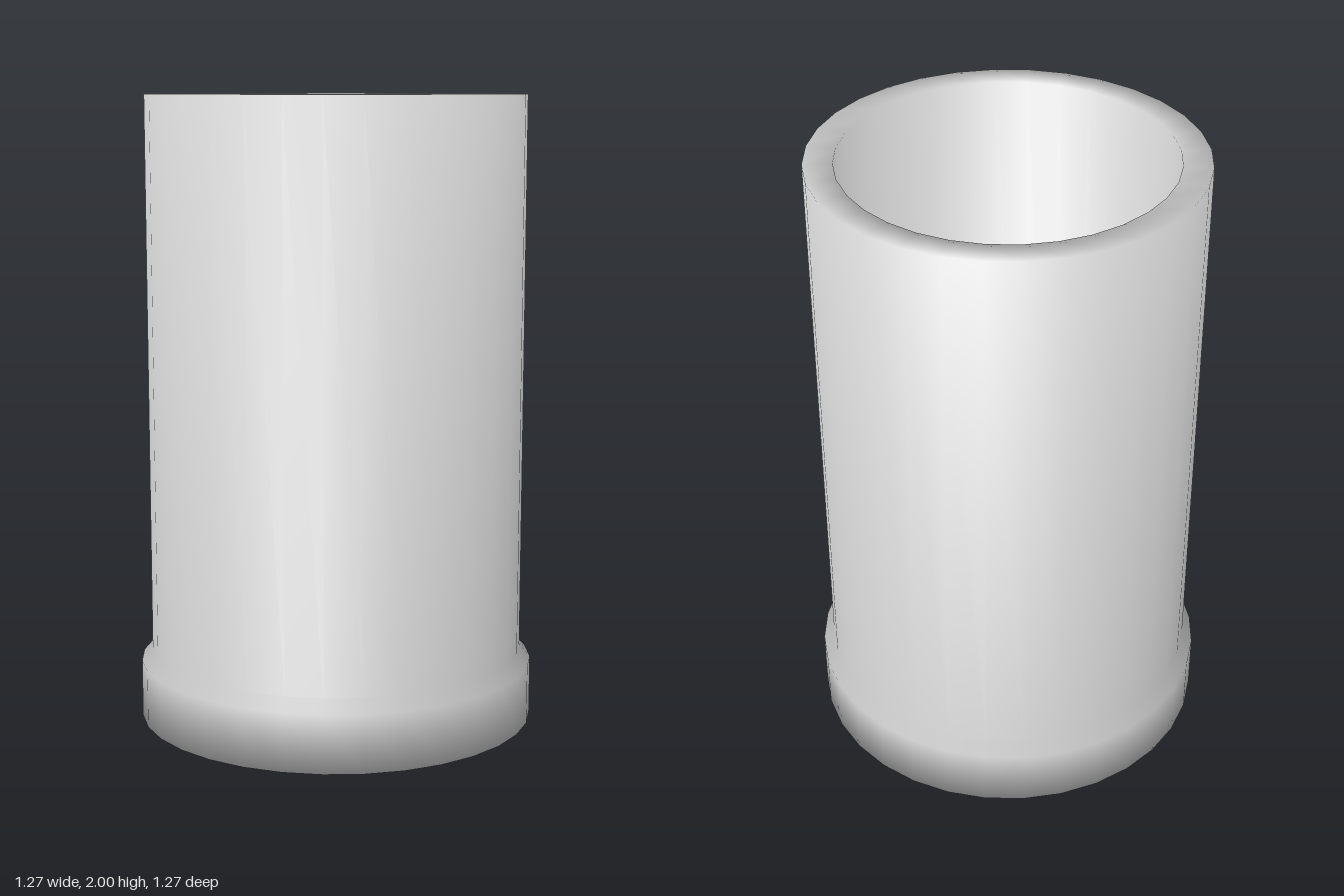
import * as THREE from 'three';

const SIDES = 32;

// Lathe whose corner normals are the even average of the two neighbouring faces
function smoothLathe(profile) {
  const points = profile.map(([r, y]) => new THREE.Vector2(r, y));
  const geometry = new THREE.LatheGeometry(points, SIDES);
  const edges = points.slice(1).map((p, i) => {
    const d = p.clone().sub(points[i]).normalize();
    return new THREE.Vector2(d.y, -d.x);
  });
  const corners = points.map((_, i) => {
    const a = edges[Math.max(i - 1, 0)];
    const b = edges[Math.min(i, edges.length - 1)];
    return a.clone().add(b).normalize();
  });
  const normal = geometry.attributes.normal;
  for (let i = 0; i < normal.count; i++) {
    const c = corners[i % points.length];
    const angle = (Math.floor(i / points.length) / SIDES) * Math.PI * 2;
    normal.setXYZ(i, c.x * Math.sin(angle), c.y, c.x * Math.cos(angle));
  }
  return geometry;
}

export function createModel() {
  const group = new THREE.Group();
  group.name = 'cylindricalCup';

  // Closed underside, wide foot with a chamfer, straight wall, flat rim, hollow inside
  const cup = new THREE.Mesh(
    smoothLathe([
      [0, 0],
      [0.635, 0],
      [0.635, 0.185],
      [0.6, 0.225],
      [0.6, 2],
      [0.51, 2],
      [0.51, 0.15],
      [0, 0.15],
    ]),
    new THREE.MeshStandardMaterial({ color: 0xcccccc })
  );
  cup.name = 'cupBody';
  group.add(cup);

  return group;
}
